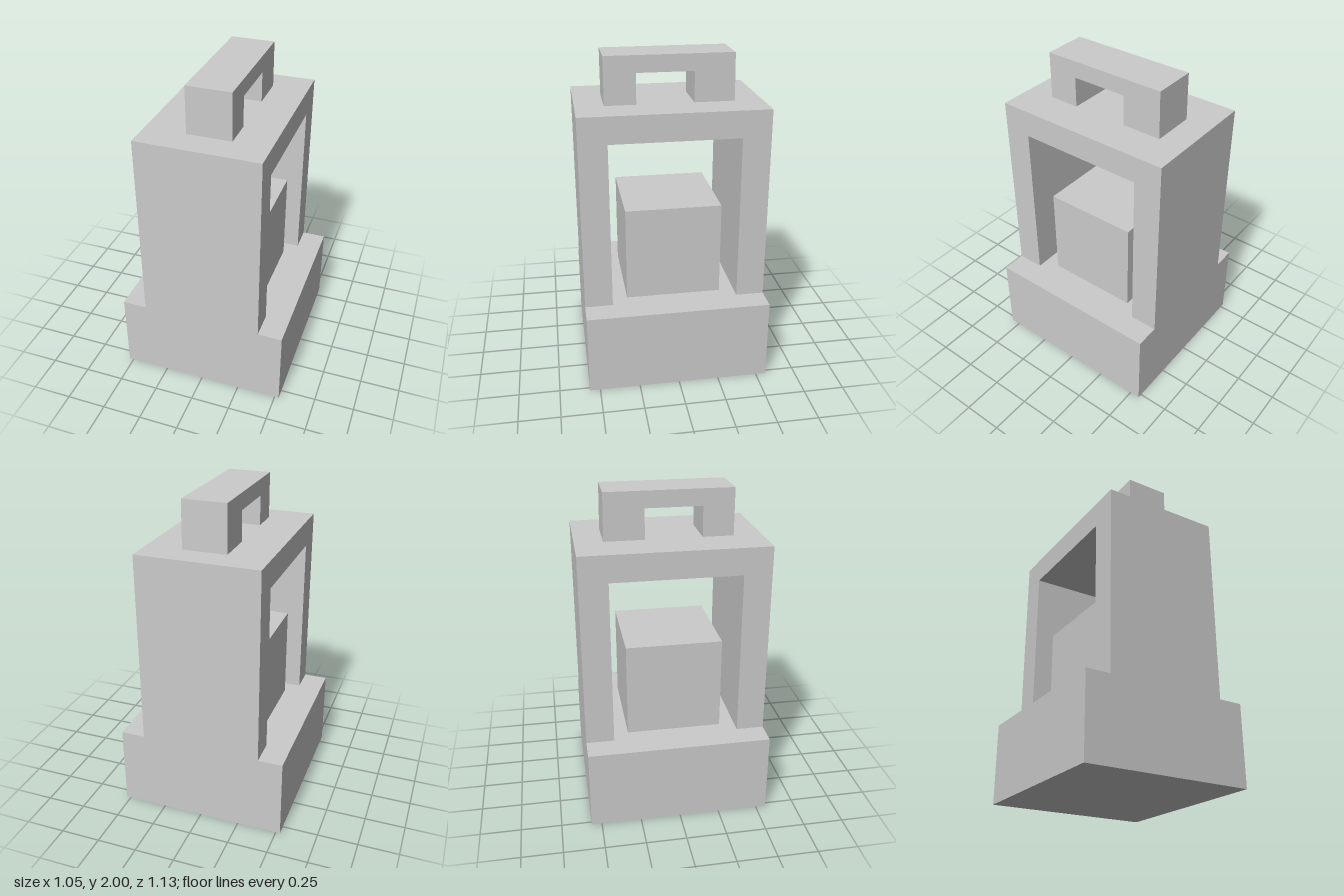
import * as THREE from 'three';

const material = new THREE.MeshStandardMaterial({ color: 0xcccccc, flatShading: true });

function addPart(group, name, geometry) {
  const mesh = new THREE.Mesh(geometry, material);
  mesh.name = name;
  group.add(mesh);
}

// Box spanning +-halfX, +-halfZ, from y0 up to y1
function block(halfX, halfZ, y0, y1) {
  return new THREE.BoxGeometry(halfX * 2, y1 - y0, halfZ * 2).translate(0, (y0 + y1) / 2, 0);
}

// Side profile given as [z, y] points, extruded from x0 to x1
function sideProfile(points, x0, x1) {
  const shape = new THREE.Shape(points.map(([z, y]) => new THREE.Vector2(z, y)));
  return new THREE.ExtrudeGeometry(shape, { depth: x1 - x0, bevelEnabled: false })
    .rotateY(-Math.PI / 2)
    .translate(x1, 0, 0);
}

export function createModel() {
  const group = new THREE.Group();
  group.name = 'lantern';

  // Wide base slab and the block standing inside the frame
  addPart(group, 'base', block(0.527, 0.564, 0, 0.508));
  addPart(group, 'innerBlock', block(0.297, 0.296, 0.508, 1.097));

  // Arch frame: front and back walls joined by the roof, open on both sides
  addPart(group, 'frame', sideProfile([
    [-0.564, 0.508], [-0.391, 0.508], [-0.391, 1.545], [0.393, 1.545],
    [0.393, 0.508], [0.564, 0.508], [0.564, 1.71], [-0.564, 1.71],
  ], -0.375, 0.375));

  // Carrying handle, slightly off centre, with uneven legs
  addPart(group, 'handle', sideProfile([
    [-0.393, 1.71], [-0.147, 1.71], [-0.147, 1.897], [0.2, 1.897],
    [0.2, 1.71], [0.39, 1.71], [0.39, 2], [-0.388, 2],
  ], -0.122, 0.15));

  return group;
}
